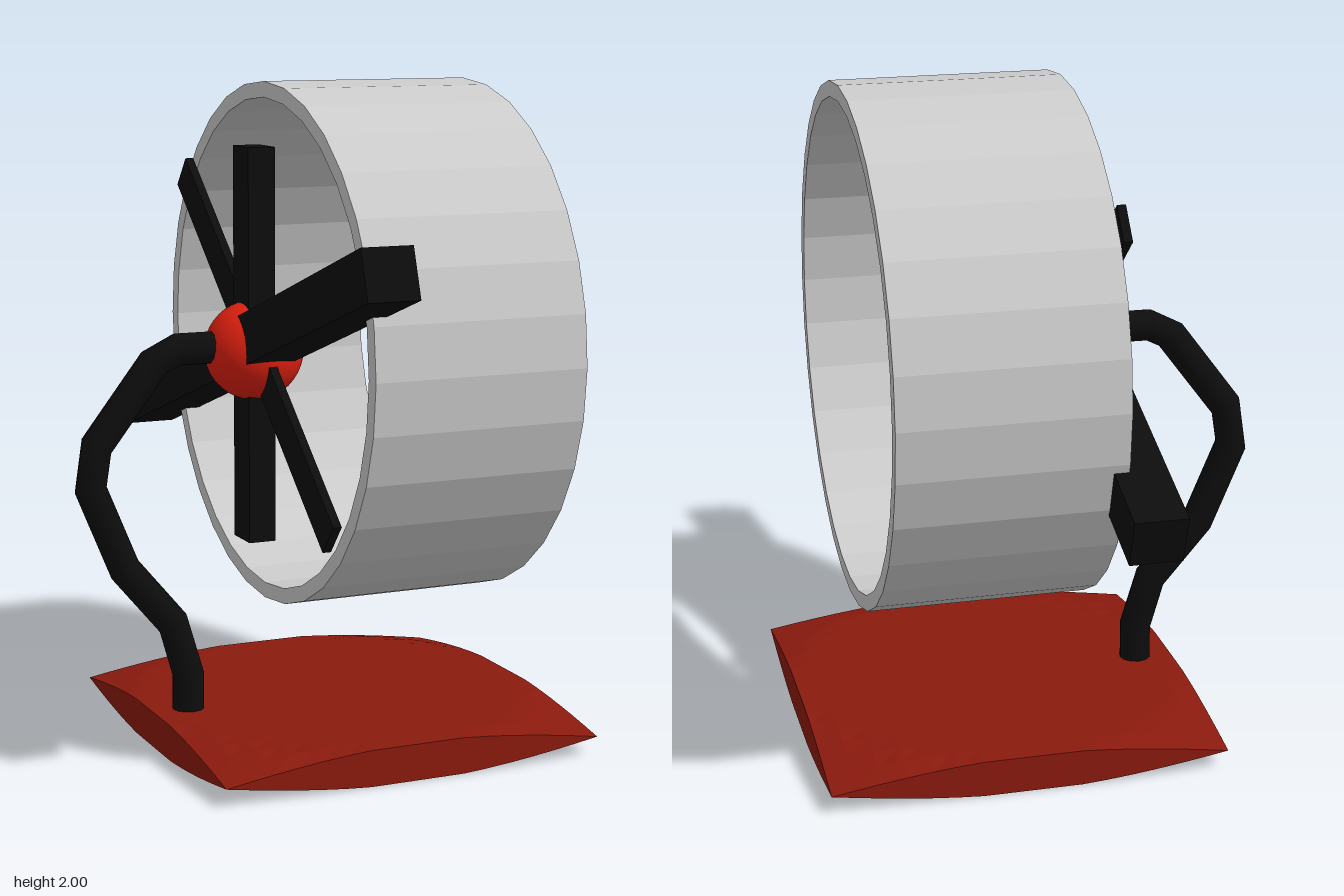
import * as THREE from 'three';

const paint = (color, flatShading = true) =>
  new THREE.MeshStandardMaterial({ color, flatShading });

// Straight runs between points, one tube ring per point
class BentPath extends THREE.Curve {
  constructor(points) {
    super();
    this.points = points;
  }
  getPoint(t, target = new THREE.Vector3()) {
    const last = this.points.length - 1;
    const i = Math.min(Math.floor(t * last + 1e-9), last - 1);
    return target.copy(this.points[i]).lerp(this.points[i + 1], t * last - i);
  }
  getPointAt(t, target) { return this.getPoint(t, target); }
  getTangentAt(t, target) { return this.getTangent(t, target); }
}

// Square slab whose thickness tapers to nothing at the four corners
function baseGeometry(size, height) {
  const geo = new THREE.BoxGeometry(size, height, size, 16, 1, 16);
  const p = geo.attributes.position;
  const corner = size * Math.SQRT1_2, full = size * 0.515;
  for (let i = 0; i < p.count; i++) {
    const r = Math.hypot(p.getX(i), p.getZ(i));
    const f = THREE.MathUtils.clamp((corner - r) / (corner - full), 0, 1);
    p.setY(i, p.getY(i) * f);
  }
  geo.computeVertexNormals();
  return geo;
}

export function createModel() {
  const model = new THREE.Group();
  const black = paint(0x0d0d0d);
  const add = (name, geometry, material, x, y, z) => {
    const mesh = new THREE.Mesh(geometry, material);
    mesh.name = name;
    mesh.position.set(x, y, z);
    model.add(mesh);
    return mesh;
  };

  add('base', baseGeometry(1.2, 0.11), paint(0x8b1a0e), 0.11, 0.055, 0);

  // Curved stand from the base up to the back of the hub
  const path = [
    [-0.375, 0.06, 0], [-0.375, 0.22, 0], [-0.42, 0.38, -0.005], [-0.57, 0.56, -0.01],
    [-0.67, 0.81, -0.02], [-0.65, 0.94, -0.02], [-0.47, 1.18, -0.01],
    [-0.4, 1.215, -0.005], [-0.2, 1.215, 0],
  ].map((p) => new THREE.Vector3(...p));
  add('stand', new THREE.TubeGeometry(new BentPath(path), path.length - 1, 0.049, 12),
    paint(0x0d0d0d, false), 0, 0, 0);

  // Hub
  add('hub', new THREE.SphereGeometry(0.15, 32, 20), paint(0xe02010, false), -0.155, 1.2, 0);

  // Blades: thickness, length, width, tilt about the hub axis in degrees
  [
    ['longBlade', 0.155, 1.99, 0.15, 71.3],
    ['uprightBlade', 0.085, 1.19, 0.12, 0],
    ['thinBlade', 0.026, 1.49, 0.115, -50],
  ].forEach(([name, t, length, w, tilt]) => {
    const blade = add(name, new THREE.BoxGeometry(t, length, w), black, -0.153, 1.215, 0);
    blade.rotation.x = THREE.MathUtils.degToRad(tilt);
  });

  // Open ring shroud, axis along x
  const outline = new THREE.Shape().absarc(0, 0, 0.785, 0, Math.PI * 2);
  outline.holes.push(new THREE.Path().absarc(0, 0, 0.738, 0, Math.PI * 2, true));
  const ring = add('ring', new THREE.ExtrudeGeometry(outline, {
    depth: 0.66, bevelEnabled: false, curveSegments: 16,
  }), paint(0xcccccc), -0.12, 1.215, 0);
  ring.rotation.y = Math.PI / 2;

  return model;
}
